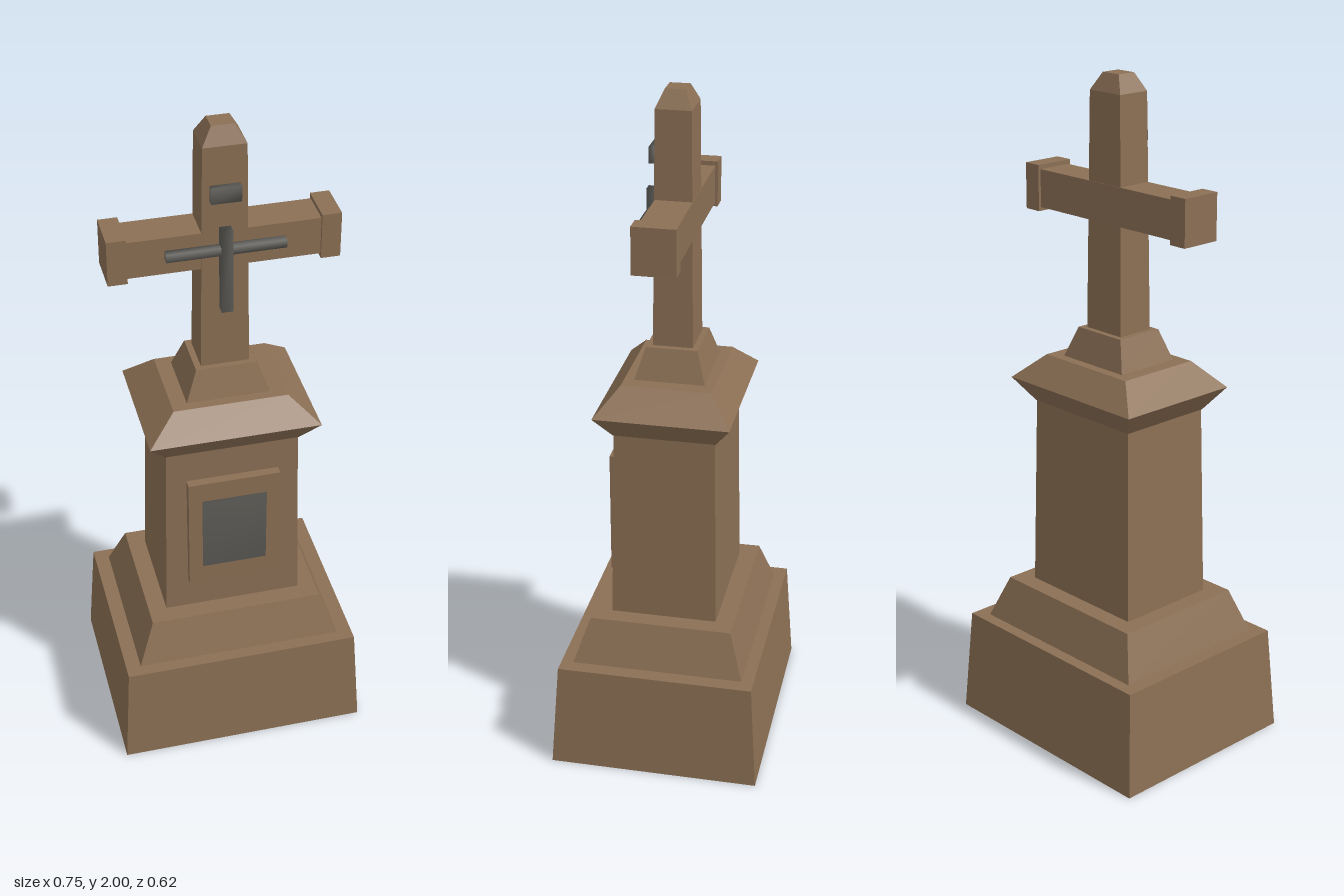
import * as THREE from 'three';
import { mergeVertices } from 'three/addons/utils/BufferGeometryUtils.js';

const stone = new THREE.MeshStandardMaterial({ color: 0x8b6f54, side: THREE.DoubleSide });
stone.name = 'brown stone';
const metal = new THREE.MeshStandardMaterial({ color: 0x5c5b56 });
metal.name = 'dark grey metal';

// Rectangular block between y0 and y1; half sizes go from [x, z] at the bottom to [x, z] at the top
function taperedBlock(y0, y1, [bx, bz], [tx, tz], openBottom = false) {
  const geo = new THREE.BoxGeometry(2, 1, 2);
  const p = geo.attributes.position;
  for (let i = 0; i < p.count; i++) {
    const top = p.getY(i) > 0;
    p.setXYZ(i, p.getX(i) * (top ? tx : bx), top ? y1 : y0, p.getZ(i) * (top ? tz : bz));
  }
  if (openBottom) {
    // drop the two triangles of the underside
    const index = Array.from(geo.index.array);
    index.splice(18, 6);
    geo.setIndex(index);
    geo.clearGroups();
  }
  geo.computeVertexNormals();
  return geo;
}

// Box given by its limits on each axis
function boxBetween(x0, x1, y0, y1, z0, z1) {
  return new THREE.BoxGeometry(x1 - x0, y1 - y0, z1 - z0)
    .translate((x0 + x1) / 2, (y0 + y1) / 2, (z0 + z1) / 2);
}

// Box with shared corners, so its shading rolls softly over the edges
function softBox(...limits) {
  const geo = boxBetween(...limits);
  geo.deleteAttribute('uv');
  geo.deleteAttribute('normal');
  const merged = mergeVertices(geo);
  merged.computeVertexNormals();
  return merged;
}

export function createModel() {
  const model = new THREE.Group();
  model.name = 'waysideCross';
  const add = (name, geometry, material) => {
    const mesh = new THREE.Mesh(geometry, material);
    mesh.name = name;
    model.add(mesh);
    return mesh;
  };

  // Pedestal tiers, from the hollow base upwards
  add('base', taperedBlock(0, 0.32, [0.375, 0.311], [0.355, 0.29], true), stone);
  add('step', taperedBlock(0.32, 0.45, [0.311, 0.254], [0.261, 0.211]), stone);
  add('pedestal', taperedBlock(0.45, 1.03, [0.207, 0.157], [0.195, 0.147]), stone);
  add('corniceUnderside', taperedBlock(1.03, 1.1, [0.197, 0.149], [0.25, 0.197]), stone);
  add('corniceTop', taperedBlock(1.1, 1.175, [0.25, 0.197], [0.167, 0.131]), stone);
  add('crossFoot', taperedBlock(1.175, 1.265, [0.122, 0.102], [0.088, 0.075]), stone);

  // Stone cross with a bevelled tip and thickened arm ends
  add('crossPost', taperedBlock(1.265, 1.95, [0.07, 0.058], [0.061, 0.051]), stone);
  add('crossTip', taperedBlock(1.95, 2, [0.061, 0.051], [0.032, 0.029]), stone);
  add('crossArm', boxBetween(-0.27, 0.27, 1.584, 1.696, -0.055, 0.052), stone);
  for (const [side, s] of [['left', 1], ['right', -1]]) {
    const end = add(side + 'ArmEnd', boxBetween(-0.0275, 0.0275, 1.573, 1.709, -0.063, 0.06), stone);
    end.position.x = s * 0.2975;
  }

  // Framed plaque on the pedestal front
  add('plaqueFrame', boxBetween(-0.137, 0.137, 0.555, 0.93, 0.14, 0.175), stone);
  add('plaque', softBox(-0.096, 0.096, 0.62, 0.865, 0.15, 0.182), metal);

  // Metal cross and title plate on the stone cross
  add('metalCrossPost', softBox(-0.016, 0.016, 1.455, 1.71, 0.052, 0.086), metal);
  add('metalCrossArm', softBox(-0.167, 0.167, 1.635, 1.659, 0.056, 0.08), metal);
  add('titlePlate', softBox(-0.042, 0.042, 1.792, 1.838, 0.05, 0.073), metal);

  return model;
}
